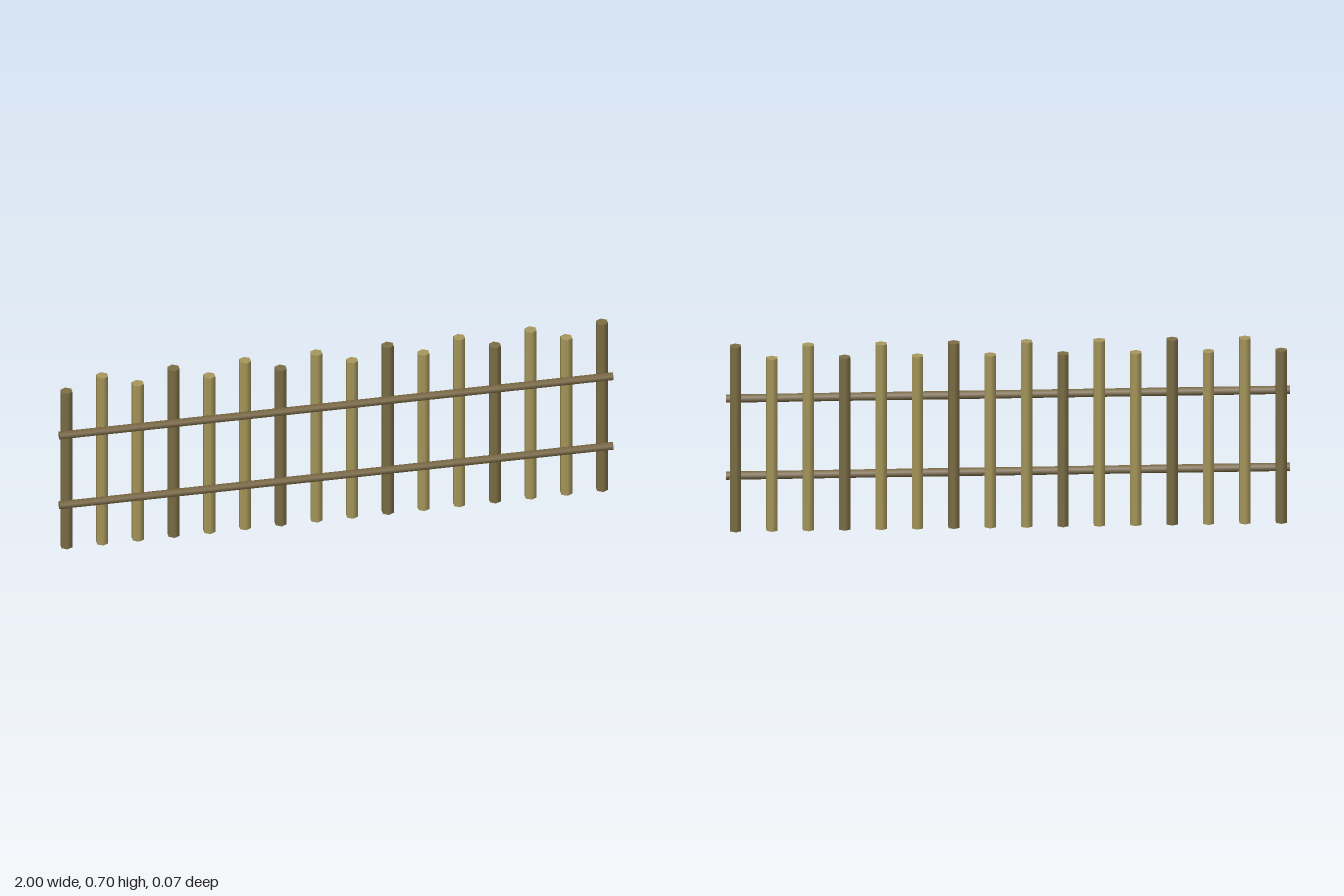
import * as THREE from 'three';

const material = (name, color) => {
  const m = new THREE.MeshStandardMaterial({ color });
  m.name = name;
  return m;
};

export function createModel() {
  const fence = new THREE.Group();
  fence.name = 'fence';

  const paleWood = material('paleWood', 0xa8985c);
  const darkWood = material('darkWood', 0x7c6e46);
  const railWood = material('railWood', 0x76643e);

  // Hexagonal pickets: alternating heights, every third one darker
  const count = 16;
  const spacing = 0.129;
  for (let i = 0; i < count; i++) {
    const height = i % 2 ? 0.697 : 0.649;
    const picket = new THREE.Mesh(
      new THREE.CylinderGeometry(0.0227, 0.0227, height, 6),
      i % 3 ? paleWood : darkWood
    );
    picket.name = `picket${i + 1}`;
    picket.position.set((i - (count - 1) / 2) * spacing, height / 2, -0.0115);
    fence.add(picket);
  }

  // Two hexagonal rails across the front, one edge pointing up
  const railGeometry = new THREE.CylinderGeometry(0.0158, 0.0158, 2, 6)
    .rotateY(Math.PI / 2)
    .rotateZ(Math.PI / 2);
  [['lowerRail', 0.195], ['upperRail', 0.486]].forEach(([name, y]) => {
    const rail = new THREE.Mesh(railGeometry, railWood);
    rail.name = name;
    rail.position.set(0, y, 0.021);
    fence.add(rail);
  });

  return fence;
}
